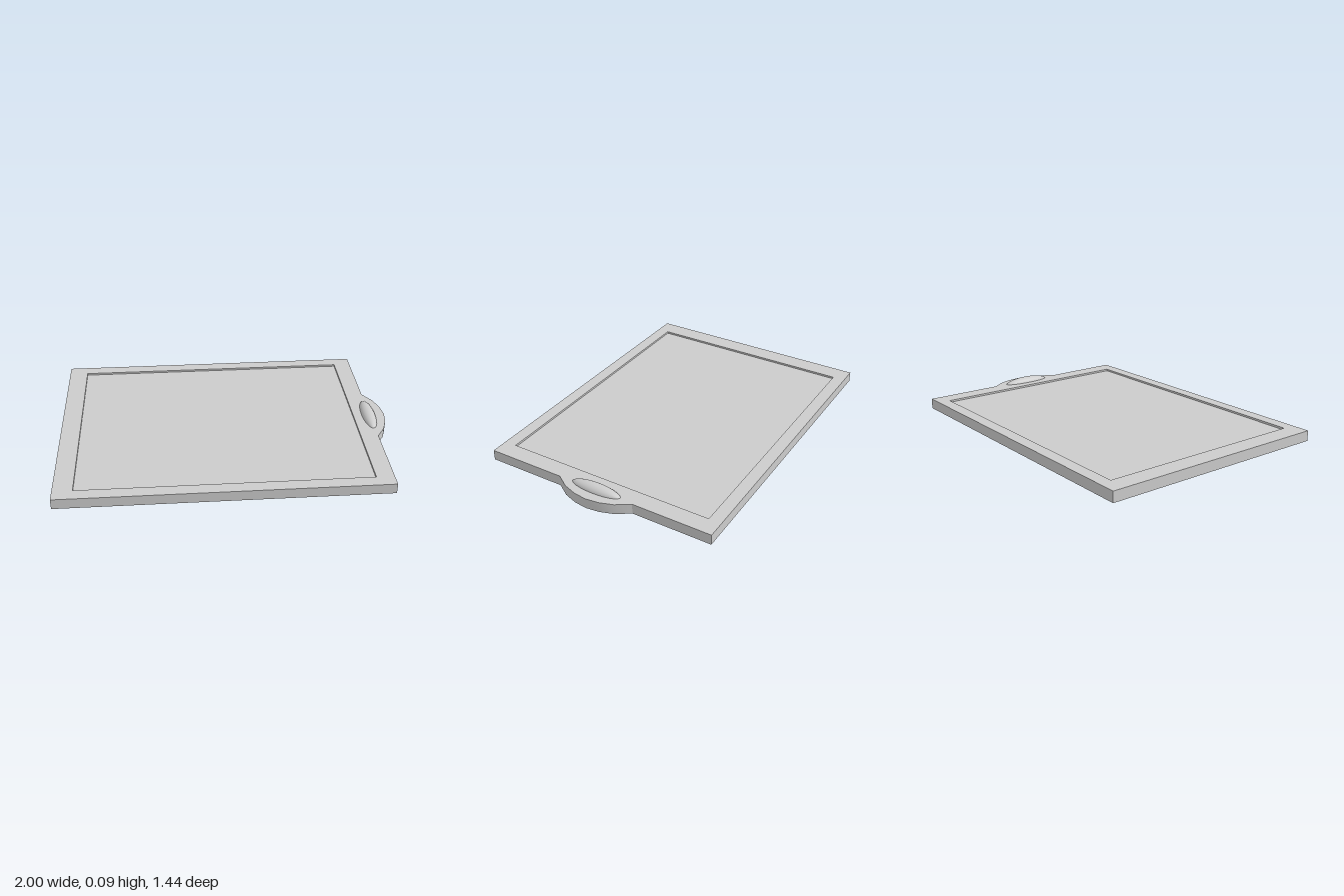
import * as THREE from 'three';
import { toCreasedNormals } from 'three/addons/utils/BufferGeometryUtils.js';

const HEIGHT = 0.063, FLOOR = 0.051;
const LEFT = -1, RIGHT = 0.91, HALF_DEPTH = 0.72;
const HOLE = { x0: -0.885, x1: 0.805, z: 0.645 };

export function createModel() {
  const group = new THREE.Group();
  const material = new THREE.MeshStandardMaterial({ color: 0xcccccc });
  const add = (name, geometry) => {
    const mesh = new THREE.Mesh(geometry, material);
    mesh.name = name;
    group.add(mesh);
    return mesh;
  };

  // Flat frame with a rounded tab on one end and a rectangular opening
  const tab = [[RIGHT, -0.24], [0.963, -0.16], [0.99, -0.08], [1, 0],
    [0.99, 0.08], [0.963, 0.16], [RIGHT, 0.24]];
  const points = [[LEFT, -HALF_DEPTH], [RIGHT, -HALF_DEPTH], ...tab, [RIGHT, HALF_DEPTH], [LEFT, HALF_DEPTH]];
  const outline = new THREE.Shape(points.map(([x, y]) => new THREE.Vector2(x, y)));
  const { x0, x1, z } = HOLE;
  outline.holes.push(new THREE.Path(
    [[x0, -z], [x0, z], [x1, z], [x1, -z]].map(([x, y]) => new THREE.Vector2(x, y))));
  const frame = new THREE.ExtrudeGeometry(outline, { depth: HEIGHT, bevelEnabled: false });
  frame.rotateX(-Math.PI / 2);
  add('frame', toCreasedNormals(frame, 0.5));

  // Slightly sunken panel filling the opening
  add('recessedPanel', new THREE.BoxGeometry(x1 - x0, FLOOR, 2 * z))
    .position.set((x0 + x1) / 2, FLOOR / 2, 0);

  // Long domed grip beside the tab, partly buried in the frame
  const grip = new THREE.SphereGeometry(1, 24, 16);
  grip.scale(0.043, 0.038, 0.16);
  add('grip', grip).position.set(0.9, 0.056, 0);

  return group;
}
